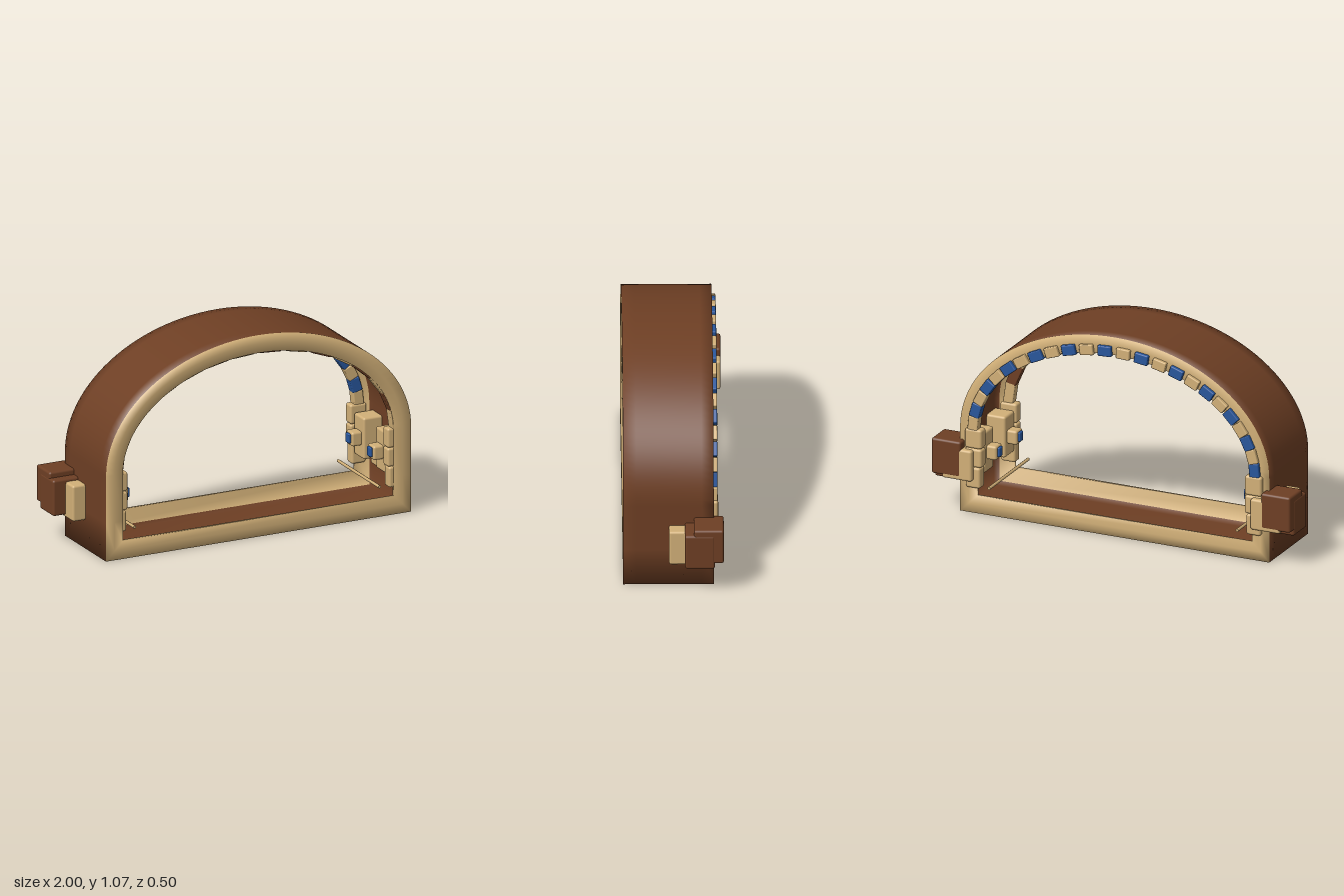
import * as THREE from 'three';
import { RoundedBoxGeometry } from 'three/addons/geometries/RoundedBoxGeometry.js';

const material = (name, color) => {
  const m = new THREE.MeshStandardMaterial({ color });
  m.name = name;
  return m;
};

const SPRING = 0.45; // height where the arch starts
const RX = 0.86, RY = 0.62;

// Point on the arch outline, moved inward by d
function outline(d) {
  const pts = [];
  const steps = 56;
  for (let i = 0; i <= steps; i++) {
    const a = (Math.PI * i) / steps;
    pts.push([(RX - d) * Math.cos(a), SPRING + (RY - d) * Math.sin(a)]);
  }
  pts.push([d - RX, 0.2], [d - RX, d], [RX - d, d], [RX - d, 0.2]);
  return pts;
}

// Hollow arch: thin shell with an inward rim at each end
function archGeometry() {
  const section = [ // inset, z, and whether the face that follows is shell
    [0, 0.255, 1], [0, 0.19, 1], [0, -0.14, 1], [0, -0.2, 0],
    [0.048, -0.2, 0], [0.095, -0.2, 0], [0.095, -0.185, 0], [0.012, -0.185, 1],
    [0.012, -0.12, 1], [0.012, 0.17, 1], [0.012, 0.235, 0], [0.095, 0.235, 0],
    [0.095, 0.255, 0], [0.048, 0.255, 0],
  ];
  const rings = section.map(([d]) => outline(d));
  const n = rings[0].length, m = section.length;
  const pos = [], shell = [], rim = [];
  for (let i = 0; i < n; i++) {
    for (let j = 0; j < m; j++) pos.push(...rings[j][i], section[j][1]);
  }
  for (let i = 0; i < n; i++) {
    for (let j = 0; j < m; j++) {
      const i2 = (i + 1) % n, j2 = (j + 1) % m;
      const a = i * m + j, b = i * m + j2, c = i2 * m + j, d = i2 * m + j2;
      (section[j][2] ? shell : rim).push(a, b, c, b, d, c);
    }
  }
  const g = new THREE.BufferGeometry();
  g.setAttribute('position', new THREE.Float32BufferAttribute(pos, 3));
  g.setIndex([...shell, ...rim]);
  g.addGroup(0, shell.length, 0);
  g.addGroup(shell.length, rim.length, 1);
  g.computeVertexNormals();
  return g;
}

export function createModel() {
  const model = new THREE.Group();
  model.name = 'archway';
  const brown = material('brown wood', 0x6e3f24);
  const tan = material('tan stone', 0xd2b078);
  const blue = material('blue stone', 0x28569c);

  const arch = new THREE.Mesh(archGeometry(), [brown, tan]);
  arch.name = 'archFrame';
  model.add(arch);

  // Rounded block given by its extents
  function block(name, mat, x0, x1, y0, y1, z0, z1, parent) {
    const w = x1 - x0, h = y1 - y0, d = z1 - z0;
    const r = Math.min(0.012, Math.min(w, h, d) * 0.25);
    const mesh = new THREE.Mesh(new RoundedBoxGeometry(w, h, d, 2, r), mat);
    mesh.position.set((x0 + x1) / 2, (y0 + y1) / 2, (z0 + z1) / 2);
    mesh.name = name;
    parent.add(mesh);
  }

  // Row of blocks following the arch, in alternating colours
  function blockRow(name, count, length, z0, z1, mats) {
    const row = new THREE.Group();
    row.name = name;
    const rx = 0.783, ry = 0.543;
    const geo = new RoundedBoxGeometry(length, 0.055, z1 - z0, 2, 0.006);
    for (let i = 0; i < count; i++) {
      const a = (Math.PI * (i + 0.5)) / count;
      const stone = new THREE.Mesh(geo, mats[i % 2]);
      stone.position.set(rx * Math.cos(a), SPRING + ry * Math.sin(a), (z0 + z1) / 2);
      stone.rotation.z = Math.atan2(ry * Math.cos(a), -rx * Math.sin(a));
      stone.name = 'archBlock';
      row.add(stone);
    }
    model.add(row);
  }
  blockRow('backBlocks', 24, 0.075, -0.22, -0.17, [tan, blue]);
  blockRow('frontBlocks', 16, 0.122, 0.2, 0.245, [tan, brown]);

  for (const s of [1, -1]) {
    const side = new THREE.Group();
    side.name = s > 0 ? 'leftSide' : 'rightSide';
    model.add(side);
    const add = (name, mat, x0, x1, ...rest) =>
      block(name, mat, Math.min(s * x0, s * x1), Math.max(s * x0, s * x1), ...rest, side);

    // Pilasters of stacked blocks at both ends
    for (const [z0, z1] of [[-0.223, -0.165], [0.19, 0.248]]) {
      add('pilasterBase', tan, 0.74, 0.82, 0.14, 0.25, z0, z1);
      add('pilasterMiddle', tan, 0.732, 0.825, 0.252, 0.35, z0, z1);
      add('pilasterTop', tan, 0.732, 0.825, 0.352, 0.455, z0, z1);
    }

    // Lamps on the inner wall
    for (const z of [0.14, -0.1]) {
      add('lampPlate', tan, 0.745, 0.855, 0.2, 0.42, z - 0.055, z + 0.055);
      add('lampBracket', tan, 0.69, 0.75, 0.27, 0.345, z - 0.035, z + 0.035);
      add('lampStone', blue, 0.678, 0.7, 0.285, 0.335, z - 0.02, z + 0.02);
    }

    // Blocks clustered outside the wall
    add('outerTanBlock', tan, 0.82, 0.93, 0.15, 0.34, -0.12, 0.025);
    add('outerLowerBlock', brown, 0.84, 1.0, 0.165, 0.355, -0.205, -0.055);
    add('outerUpperBlock', brown, 0.835, 0.998, 0.195, 0.385, -0.25, -0.1);
    add('outerBackBlock', tan, 0.775, 0.94, 0.18, 0.345, -0.249, -0.12);

    // Low rail running through the arch
    const rail = new THREE.Mesh(new THREE.CylinderGeometry(0.008, 0.008, 0.46, 8), tan);
    rail.rotation.x = Math.PI / 2;
    rail.position.set(s * 0.69, 0.152, 0.01);
    rail.name = 'rail';
    side.add(rail);
  }
  return model;
}
